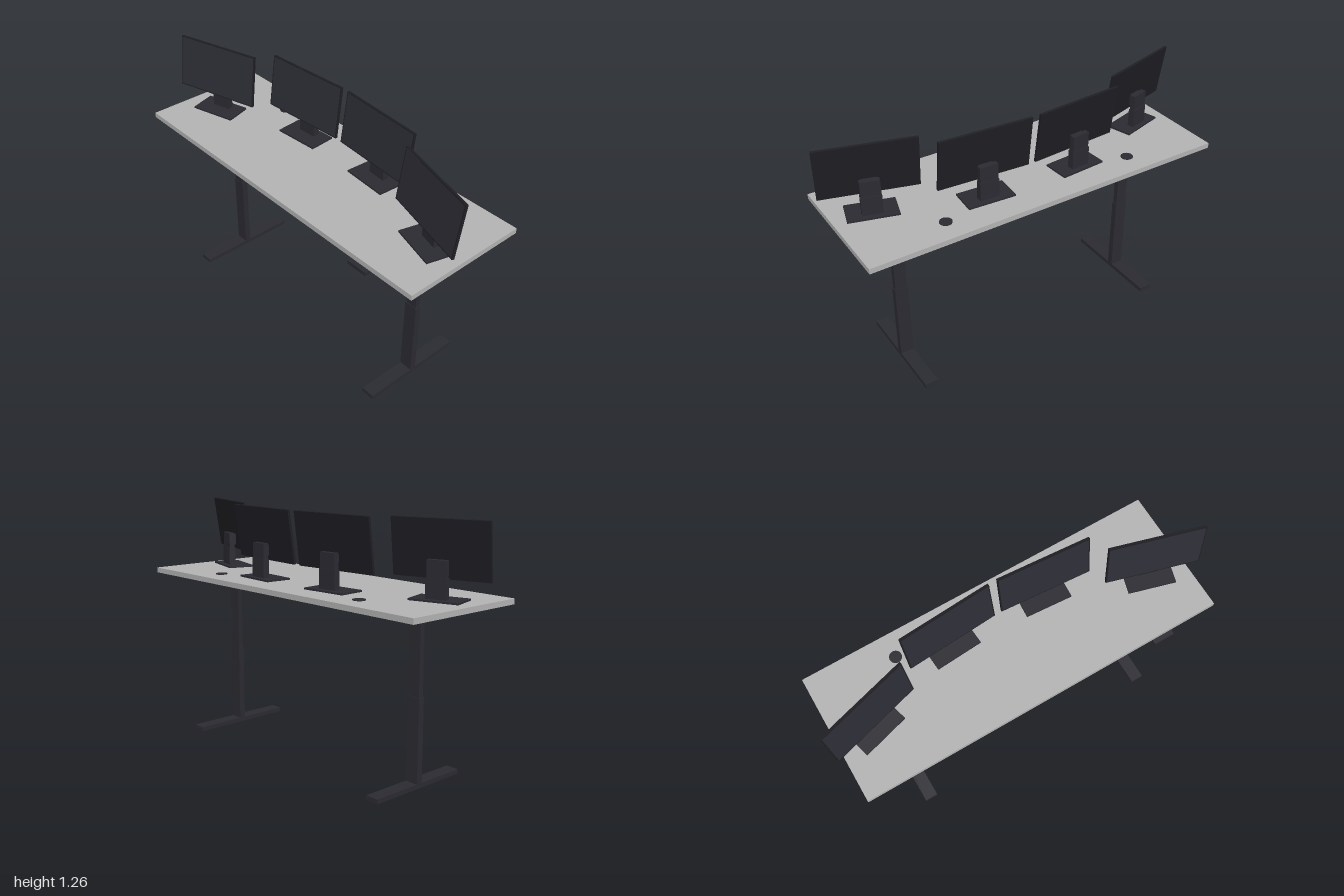
import * as THREE from 'three';

const mat = (name, color) => {
  const m = new THREE.MeshStandardMaterial({ color });
  m.name = name;
  return m;
};

export function createModel() {
  const top = mat('grey laminate', 0xb2b2b2);
  const metal = mat('dark metal', 0x2a2a31);
  const casing = mat('black casing', 0x1e1e24);
  const screenMat = mat('dark screen', 0x2d2d36);

  const root = new THREE.Group();
  root.name = 'standingDesk';

  // Box given by its size and centre
  const box = (parent, name, material, size, pos) => {
    const mesh = new THREE.Mesh(new THREE.BoxGeometry(...size), material);
    mesh.name = name;
    mesh.position.set(...pos);
    parent.add(mesh);
    return mesh;
  };

  // Table top
  box(root, 'tableTop', top, [1.92, 0.027, 0.677], [0, 0.8815, -0.0125]);

  // Telescopic legs with feet and support brackets
  for (const side of [-1, 1]) {
    const leg = new THREE.Group();
    leg.name = side < 0 ? 'rightLeg' : 'leftLeg';
    leg.position.set(side * 0.681, 0, -0.012);
    box(leg, 'foot', metal, [0.07, 0.023, 0.56], [0, 0.0115, 0]);
    box(leg, 'lowerColumn', metal, [0.07, 0.42, 0.033], [0, 0.232, 0]);
    box(leg, 'upperColumn', metal, [0.062, 0.43, 0.027], [0, 0.652, 0]);
    box(leg, 'topBracket', metal, [0.05, 0.013, 0.48], [0, 0.8615, 0]);
    root.add(leg);

    // Cable grommet
    const grommet = new THREE.Mesh(new THREE.CylinderGeometry(0.031, 0.031, 0.006, 32), metal);
    grommet.name = 'cableGrommet';
    grommet.position.set(side * 0.521, 0.896, -0.226);
    root.add(grommet);
  }

  // Height controller under the front edge
  box(root, 'heightController', metal, [0.11, 0.019, 0.062], [0.655, 0.8585, 0.319]);

  // Monitor on its stand, facing +z before it is turned
  const addMonitor = (name, x, z, turn) => {
    const monitor = new THREE.Group();
    monitor.name = name;
    monitor.position.set(x, 0.895, z);
    monitor.rotation.y = turn;
    box(monitor, 'standBase', metal, [0.245, 0.009, 0.14], [0, 0.0045, 0]);
    box(monitor, 'lowerStand', metal, [0.1, 0.097, 0.035], [0, 0.0565, -0.026]);
    box(monitor, 'upperStand', metal, [0.095, 0.08, 0.028], [0, 0.145, -0.026]);
    box(monitor, 'screenMount', metal, [0.07, 0.06, 0.02], [0, 0.15, -0.008]);

    // Panel leans back
    const panel = new THREE.Group();
    panel.name = 'panel';
    panel.position.set(0, 0.231, 0);
    panel.rotation.x = -THREE.MathUtils.degToRad(8);
    box(panel, 'panelCasing', casing, [0.476, 0.273, 0.013], [0, 0, 0]);
    box(panel, 'screen', screenMat, [0.464, 0.261, 0.001], [0, 0, 0.0066]);
    monitor.add(panel);
    root.add(monitor);
  };

  // Four monitors in a shallow arc
  for (const side of [-1, 1]) {
    const label = side < 0 ? 'right' : 'left';
    addMonitor(label + 'InnerMonitor', side * 0.258, -0.142, -side * THREE.MathUtils.degToRad(4));
    addMonitor(label + 'OuterMonitor', side * 0.764, 0.035, -side * THREE.MathUtils.degToRad(16));
  }

  return root;
}
